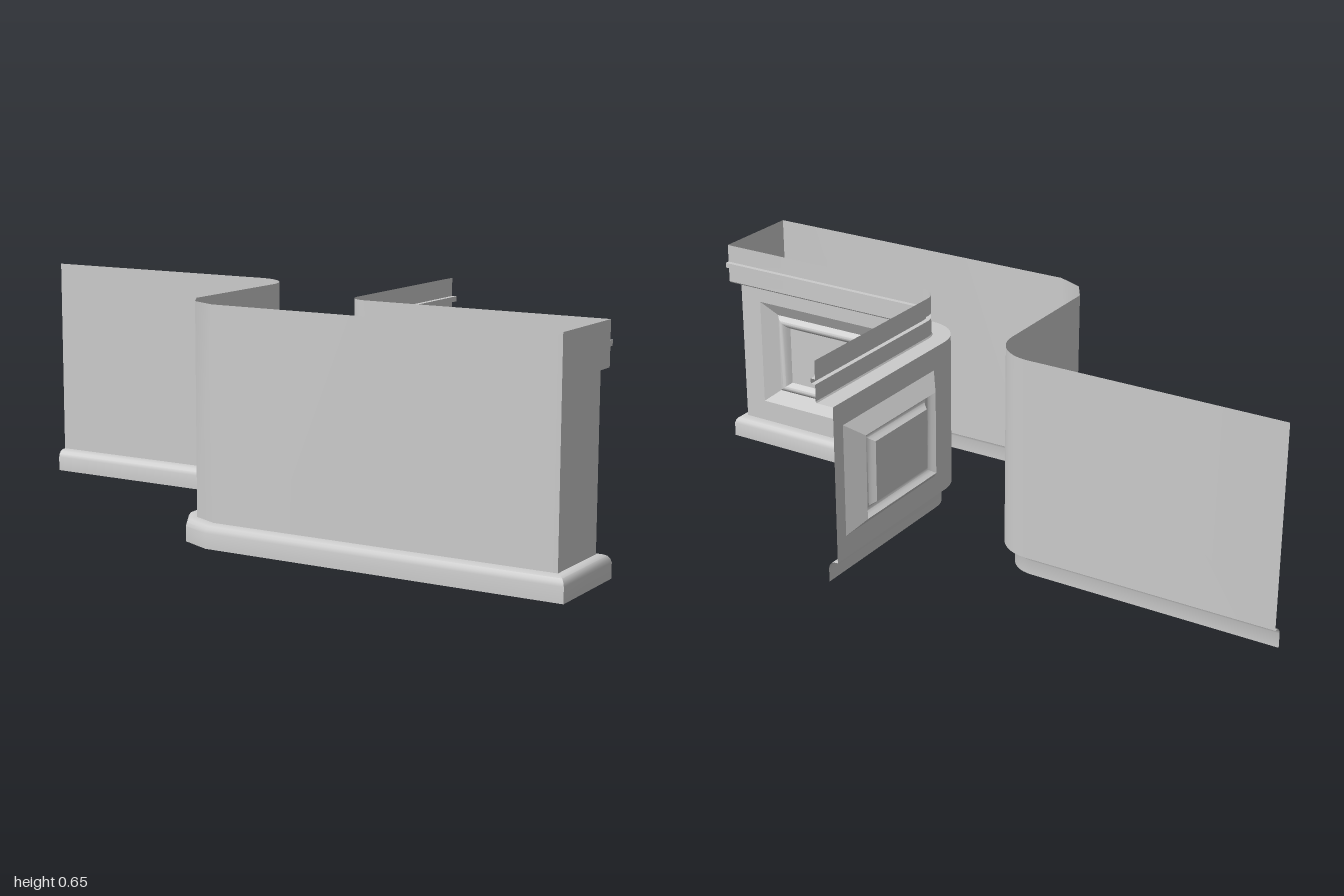
import * as THREE from 'three';
import { toCreasedNormals } from 'three/addons/utils/BufferGeometryUtils.js';

const TOP = 0.647, BASE = 0.065, LEDGE = 0.527;
const material = new THREE.MeshStandardMaterial({ color: 0xcccccc, side: THREE.DoubleSide });

function mesh(name, geometry) {
  const m = new THREE.Mesh(geometry, material);
  m.name = name;
  return m;
}

// Indexed sheet from points and quads, with sharp edges kept
function sheet(points, quads) {
  const g = new THREE.BufferGeometry();
  g.setAttribute('position', new THREE.Float32BufferAttribute(points.flat(), 3));
  g.setIndex(quads.flatMap(([a, b, c, d]) => [a, b, c, a, c, d]));
  return toCreasedNormals(g, 0.6);
}

// Sweep a profile of [outward offset, y] along a plan path of [x, z], with mitred corners
function sweep(path, profile) {
  const points = [], quads = [], n = profile.length;
  const normal = (a, b) => {
    const l = Math.hypot(b[0] - a[0], b[1] - a[1]);
    return [-(b[1] - a[1]) / l, (b[0] - a[0]) / l];
  };
  path.forEach((p, i) => {
    const n1 = normal(path[Math.max(i - 1, 0)], path[Math.max(i, 1)]);
    const n2 = i < path.length - 1 ? normal(p, path[i + 1]) : n1;
    const k = 1 + n1[0] * n2[0] + n1[1] * n2[1];
    for (const [o, y] of profile)
      points.push([p[0] + (n1[0] + n2[0]) / k * o, y, p[1] + (n1[1] + n2[1]) / k * o]);
    if (i) for (let j = 0; j < n - 1; j++) {
      const a = (i - 1) * n + j;
      quads.push([a, a + n, a + n + 1, a + 1]);
    }
  });
  return sheet(points, quads);
}

function arc(cx, cz, r, from, to, steps) {
  return Array.from({ length: steps + 1 }, (_, i) => {
    const a = from + (to - from) * i / steps;
    return [cx + r * Math.cos(a), cz + r * Math.sin(a)];
  });
}

// Sunken panel: sloping frame, round bead, flat field
function panel(u0, u1, y0, y1, depth, bead) {
  const rings = [[0, 0, 0]];
  for (let i = 0; i <= 6; i++) {
    const s = i / 6;
    rings.push([0.05 + 0.045 * s, 0.04 + 0.035 * s, -depth + bead * Math.sin(Math.PI * s)]);
  }
  const points = [], quads = [];
  rings.forEach(([dx, dy, z], k) => {
    points.push([u0 + dx, y0 + dy, z], [u1 - dx, y0 + dy, z], [u1 - dx, y1 - dy, z], [u0 + dx, y1 - dy, z]);
    if (k) for (let c = 0; c < 4; c++) {
      const a = (k - 1) * 4, d = (c + 1) % 4;
      quads.push([a + c, a + d, a + 4 + d, a + 4 + c]);
    }
  });
  const e = points.length - 4;
  quads.push([e, e + 1, e + 2, e + 3]);
  return sheet(points, quads);
}

// Flat wall with an opening that holds a sunken panel
function panelledWall(name, length, u0, u1, depth, bead) {
  const y0 = 0.13, y1 = 0.46;
  const rect = (a, b, c, d) => [[a, c], [b, c], [b, d], [a, d]].map(p => new THREE.Vector2(...p));
  const shape = new THREE.Shape(rect(0, length, BASE, LEDGE));
  shape.holes.push(new THREE.Path(rect(u0, u1, y0, y1).reverse()));
  const g = new THREE.Group();
  g.name = name;
  g.add(mesh('wallFace', new THREE.ShapeGeometry(shape)), mesh('sunkenPanel', panel(u0, u1, y0, y1, depth, bead)));
  return g;
}

export function createModel() {
  const group = new THREE.Group();
  group.name = 'panelledCounterWalls';

  // Plan paths, outward side on the right of the walls
  const front = [
    [-1, -0.16],
    ...arc(-0.26, -0.04, 0.12, -Math.PI / 2, 0, 10),
    [-0.14, 0.33], [-0.102, 0.391], [-0.025, 0.425], [0.97, 0.415],
  ];
  const corner = arc(0.27, 0.08, 0.115, Math.PI / 2, Math.PI, 10);
  const inner = [[0.97, 0.195], ...corner, [0.155, -0.457]];

  // Plain front wall and rounded inner corner
  group.add(mesh('frontWall', sweep(front, [[0, BASE], [0, TOP]])));
  group.add(mesh('innerCorner', sweep(corner, [[0, BASE], [0, LEDGE]])));

  // Skirting runs round everything
  const skirting = [[0.03, 0], [0.03, 0.042], [0.027, 0.052], [0.021, 0.06], [0.012, 0.064], [0, BASE]];
  group.add(mesh('skirting', sweep([...front, ...inner], skirting)));

  // Cornice with a thin projecting bead
  const cornice = [[0, LEDGE], [0.052, LEDGE], [0.055, 0.531], [0.055, 0.579], [0.069, 0.579],
    [0.069, 0.594], [0.055, 0.594], [0.055, TOP]];
  group.add(mesh('cornice', sweep(inner, cornice)));

  // End wall, cut to the cornice outline
  const outline = [[-0.415, TOP], [-0.415, BASE], [-0.195, BASE],
    ...cornice.map(([o, y]) => [o - 0.195, y])];
  const end = mesh('endWall', new THREE.ShapeGeometry(new THREE.Shape(outline.map(p => new THREE.Vector2(...p)))));
  end.rotation.y = Math.PI / 2;
  end.position.x = 0.97;
  group.add(end);

  // Panelled inner walls
  const back = panelledWall('backPanelWall', 0.7, 0.07, 0.65, 0.022, 0.016);
  back.position.set(0.97, 0, 0.195);
  back.rotation.y = Math.PI;
  const side = panelledWall('sidePanelWall', 0.537, 0.055, 0.495, 0.038, 0.02);
  side.position.set(0.155, 0, 0.08);
  side.rotation.y = Math.PI / 2;
  group.add(back, side);

  return group;
}
